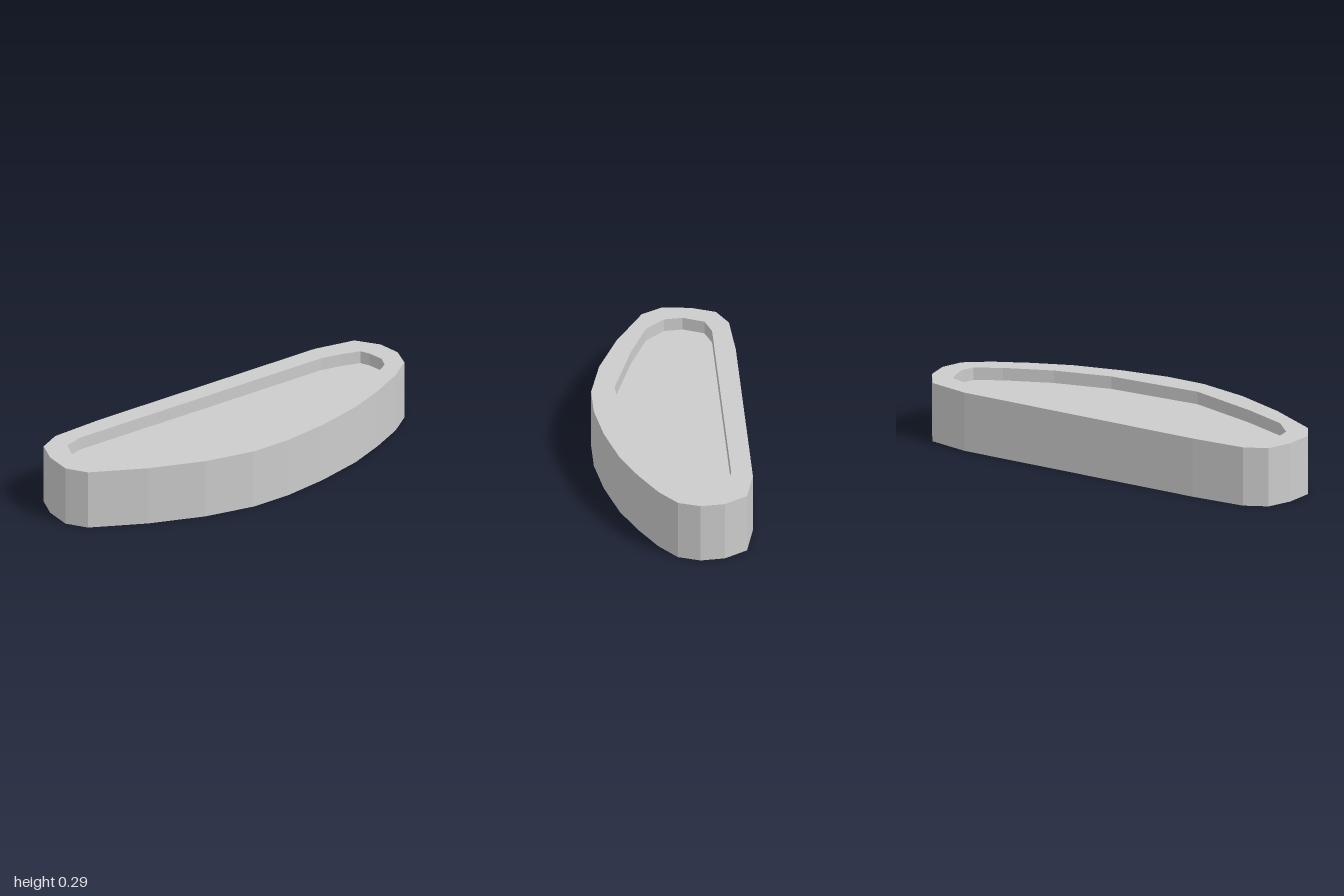
import * as THREE from 'three';

const HEIGHT = 0.29, FLOOR = 0.228;

// Plan outlines as [x, z]
const OUTER = [
  [-0.355, -0.71], [-0.315, -0.912], [-0.205, -0.986], [-0.09, -1], [0.015, -0.96],
  [0.1, -0.845], [0.185, -0.675], [0.26, -0.49], [0.32, -0.25], [0.353, -0.02],
  [0.353, 0.18], [0.3, 0.425], [0.2, 0.685], [0.065, 0.94], [-0.033, 1],
  [-0.17, 0.988], [-0.285, 0.94], [-0.34, 0.83], [-0.355, 0.56],
];
const INNER = [
  [-0.255, -0.67], [-0.235, -0.77], [-0.205, -0.865], [-0.16, -0.885], [-0.08, -0.897],
  [-0.02, -0.87], [0.05, -0.75], [0.145, -0.525], [0.215, -0.25], [0.24, 0.215],
  [0.14, 0.565], [0.055, 0.79], [-0.035, 0.88], [-0.125, 0.89], [-0.225, 0.845],
  [-0.255, 0.75],
];

const material = new THREE.MeshStandardMaterial({ color: 0xcccccc, flatShading: true });

// Vertical band of flat facets around a closed outline
function wall(points, y0, y1) {
  const pos = [];
  points.forEach(([ax, az], i) => {
    const [bx, bz] = points[(i + 1) % points.length];
    pos.push(ax, y0, az, ax, y1, az, bx, y1, bz);
    pos.push(ax, y0, az, bx, y1, bz, bx, y0, bz);
  });
  const g = new THREE.BufferGeometry();
  g.setAttribute('position', new THREE.Float32BufferAttribute(pos, 3));
  g.computeVertexNormals();
  return g;
}

// Horizontal face at height y, facing up (1) or down (-1), with an optional hole
function cap(points, y, facing, hole) {
  const to2D = (list) => list.map(([x, z]) => new THREE.Vector2(x, -facing * z));
  const shape = new THREE.Shape(to2D(points));
  if (hole) shape.holes.push(new THREE.Path(to2D(hole)));
  return new THREE.ShapeGeometry(shape).rotateX(-facing * Math.PI / 2).translate(0, y, 0);
}

export function createModel() {
  const group = new THREE.Group();
  group.name = 'shallowTray';
  const add = (name, geometry) => {
    const mesh = new THREE.Mesh(geometry, material);
    mesh.name = name;
    group.add(mesh);
  };

  // Solid body
  add('outerWall', wall(OUTER, 0, HEIGHT));
  add('underside', cap(OUTER, 0, -1));

  // Rim around the shallow recess
  add('rim', cap(OUTER, HEIGHT, 1, INNER));
  add('recessWall', wall([...INNER].reverse(), FLOOR, HEIGHT));
  add('recessFloor', cap(INNER, FLOOR, 1));

  return group;
}
